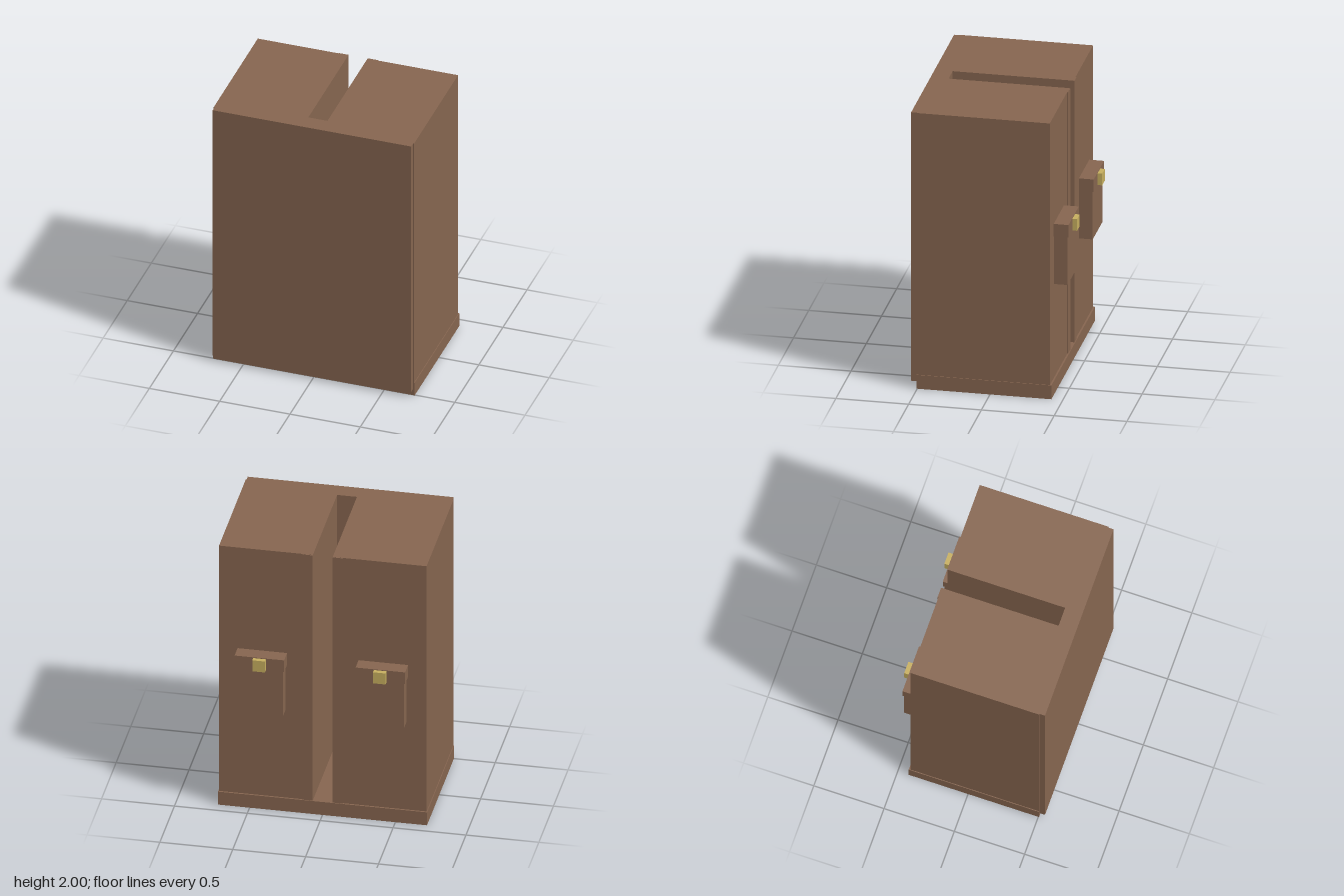
import * as THREE from 'three';

export function createModel() {
  const model = new THREE.Group();
  const leather = new THREE.MeshStandardMaterial({ color: 0x876650 });
  leather.name = 'brown leather';
  const brass = new THREE.MeshStandardMaterial({ color: 0xc8b060 });
  brass.name = 'brass';

  // Box given by its minimum and maximum on each axis
  function box(name, material, [x0, x1], [y0, y1], [z0, z1], parent = model) {
    const mesh = new THREE.Mesh(new THREE.BoxGeometry(x1 - x0, y1 - y0, z1 - z0), material);
    mesh.position.set((x0 + x1) / 2, (y0 + y1) / 2, (z0 + z1) / 2);
    mesh.name = name;
    parent.add(mesh);
  }

  // Case body: U-shaped plan, slot open to the back, extruded upwards
  const plan = new THREE.Shape([
    [-0.712, -0.505], [0.712, -0.505], [0.712, 0.41], [0.068, 0.41],
    [0.068, -0.42], [-0.068, -0.42], [-0.068, 0.41], [-0.712, 0.41],
  ].map(([x, y]) => new THREE.Vector2(x, y)));
  const bodyGeometry = new THREE.ExtrudeGeometry(plan, { depth: 1.9, bevelEnabled: false });
  bodyGeometry.rotateX(-Math.PI / 2).translate(0, 0.1, 0);
  const body = new THREE.Mesh(bodyGeometry, leather);
  body.name = 'caseBody';
  model.add(body);

  // Base tray and front panel
  box('baseTray', leather, [-0.717, 0.717], [0, 0.1], [-0.422, 0.505]);
  box('frontPanel', leather, [-0.706, 0.706], [0.05, 2], [0.5, 0.544]);

  // Each side: edge strip beside the slot, pocket, flap and clasp
  for (const side of [1, -1]) {
    const half = new THREE.Group();
    half.name = side > 0 ? 'leftFittings' : 'rightFittings';
    model.add(half);
    const span = (a, b) => (side > 0 ? [a, b] : [-b, -a]);
    box('slotEdgeStrip', leather, span(0.068, 0.14), [0.1, 1.999], [-0.416, -0.4], half);
    box('pocket', leather, span(0.255, 0.575), [0.78, 1.14], [-0.503, -0.4], half);
    box('pocketFlap', leather, span(0.245, 0.585), [1.13, 1.22], [-0.512, -0.4], half);
    box('clasp', brass, span(0.371, 0.457), [1.13, 1.215], [-0.544, -0.5], half);
  }
  return model;
}
